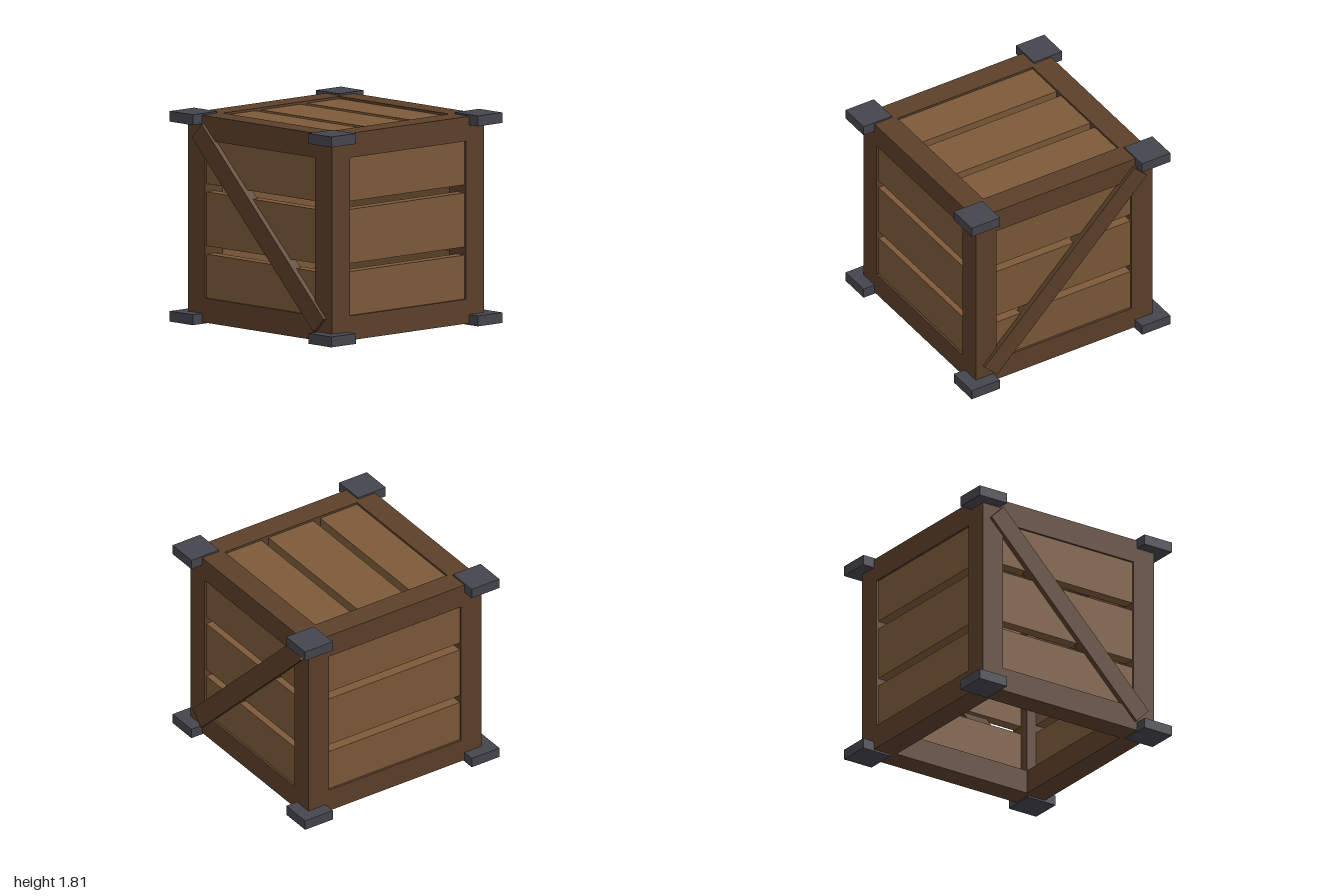
import * as THREE from 'three';

const frameWood = new THREE.MeshStandardMaterial({ name: 'dark frame wood', color: 0x5c402a });
const plankWood = new THREE.MeshStandardMaterial({ name: 'light plank wood', color: 0x7d5a3a });
const iron = new THREE.MeshStandardMaterial({ name: 'dark iron', color: 0x45454e });

const MID = 0.905;            // height of the crate's centre
const OUT = 0.89, BEAM = 0.21; // outer half size and beam width
const AXIS = OUT - BEAM / 2;   // beam centre line
const INNER = 2 * (OUT - BEAM);

function box(parent, name, material, size, pos) {
  const mesh = new THREE.Mesh(new THREE.BoxGeometry(...size), material);
  mesh.name = name;
  mesh.position.set(...pos);
  parent.add(mesh);
  return mesh;
}

// Three spaced planks lying in the local xy plane, facing +z
function plankPanel(name) {
  const panel = new THREE.Group();
  panel.name = name;
  for (const i of [-1, 0, 1]) {
    box(panel, 'plank', plankWood, [INNER + 0.06, 0.465, 0.1], [0, i * 0.535, 0.82]);
  }
  return panel;
}

export function createModel() {
  const crate = new THREE.Group();
  crate.name = 'crate';
  const body = new THREE.Group();
  body.name = 'body';
  body.position.y = MID;
  crate.add(body);

  // Frame: four posts, with rails between them at top and bottom
  for (const a of [-1, 1]) {
    for (const b of [-1, 1]) {
      box(body, 'cornerPost', frameWood, [BEAM, 2 * OUT, BEAM], [a * AXIS, 0, b * AXIS]);
      box(body, 'crossRail', frameWood, [INNER, BEAM, BEAM], [0, a * AXIS, b * AXIS]);
      box(body, 'sideRail', frameWood, [BEAM, BEAM, INNER], [a * AXIS, b * AXIS, 0]);
    }
  }

  // Planks on four sides and the top; the bottom is open
  ['front', 'right', 'back', 'left'].forEach((side, i) => {
    const panel = plankPanel(side + 'Planks');
    panel.rotation.y = -i * Math.PI / 2;
    body.add(panel);
  });
  const lid = plankPanel('topPlanks');
  lid.rotation.x = -Math.PI / 2;
  body.add(lid);

  // Diagonal braces on the front and back
  for (const s of [-1, 1]) {
    const brace = box(body, s > 0 ? 'frontBrace' : 'backBrace', frameWood,
      [2.135, 0.178, 0.1], [0, 0, s * 0.867]);
    brace.rotation.z = -Math.PI / 4;
  }

  // Iron blocks on all eight corners
  for (const x of [-1, 1]) for (const y of [-1, 1]) for (const z of [-1, 1]) {
    box(body, 'cornerBlock', iron, [0.285, 0.09, 0.285], [x * 0.8575, y * 0.86, z * 0.8575]);
  }
  return crate;
}
